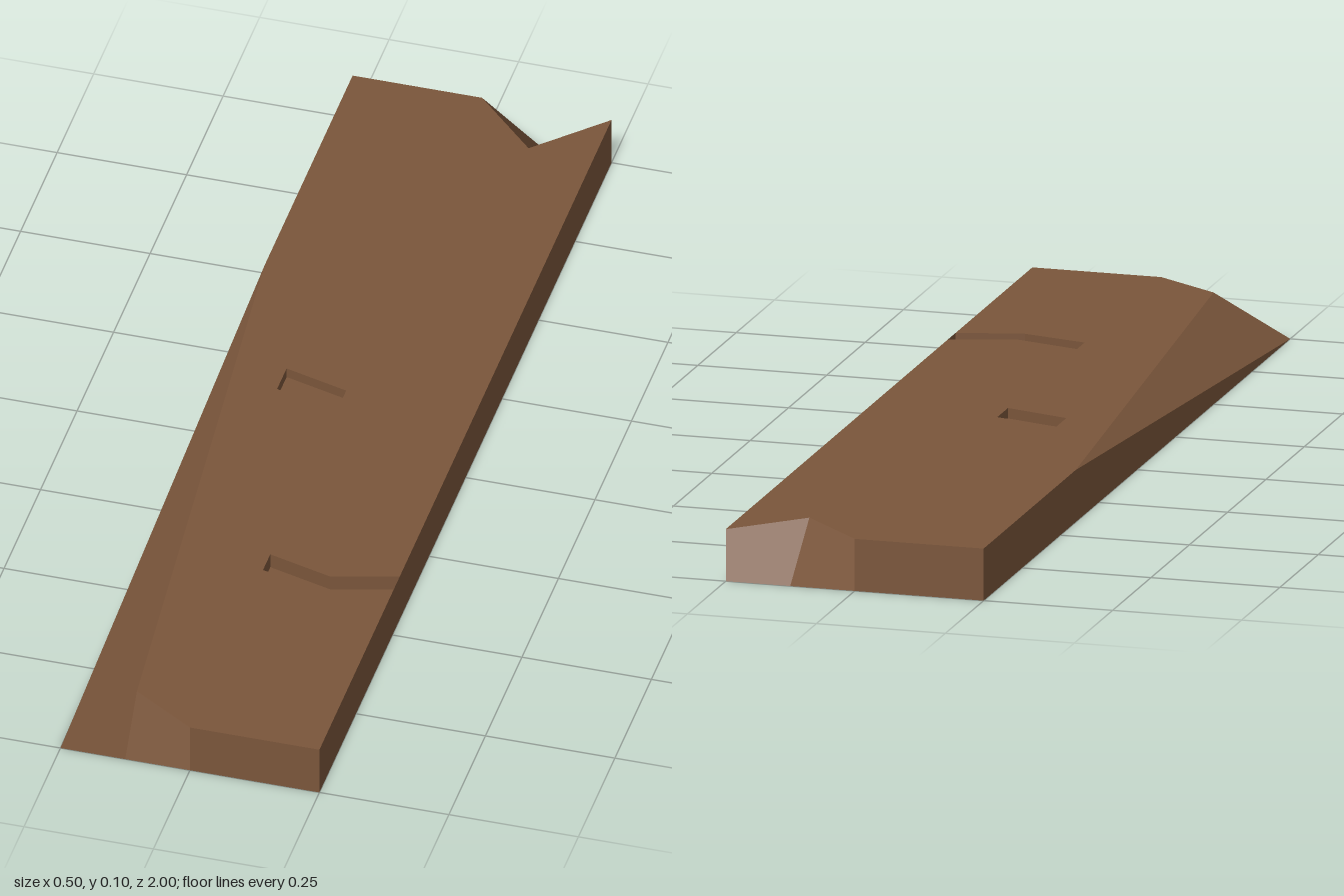
import * as THREE from 'three';

const HEIGHT = 0.1;

// Flat horizontal panel from [x, z] points, facing up at height y
function panel(points, y, holes = []) {
  const toVec = ([x, z]) => new THREE.Vector2(x, -z);
  const shape = new THREE.Shape(points.map(toVec));
  holes.forEach((h) => shape.holes.push(new THREE.Path(h.map(toVec))));
  return new THREE.ShapeGeometry(shape).rotateX(-Math.PI / 2).translate(0, y, 0);
}

// Ring of side faces between a lower and an upper outline; each quad has one flat normal
function wall(low, top, y0, y1) {
  const positions = [];
  const normals = [];
  low.forEach((_, i) => {
    const j = (i + 1) % low.length;
    const at = ([x, z], y) => new THREE.Vector3(x, y, z);
    const a = at(low[i], y0);
    const b = at(low[j], y0);
    const c = at(top[j], y1);
    const d = at(top[i], y1);
    const n = c.clone().sub(a).cross(d.clone().sub(b)).normalize();
    for (const p of [a, b, c, a, c, d]) {
      positions.push(p.x, p.y, p.z);
      normals.push(n.x, n.y, n.z);
    }
  });
  const g = new THREE.BufferGeometry();
  g.setAttribute('position', new THREE.Float32BufferAttribute(positions, 3));
  g.setAttribute('normal', new THREE.Float32BufferAttribute(normals, 3));
  return g;
}

export function createModel() {
  const model = new THREE.Group();
  model.name = 'woodenPlank';
  const wood = new THREE.MeshStandardMaterial({ color: 0x7b563b });
  wood.name = 'brown wood';

  const add = (name, geometry) => {
    const mesh = new THREE.Mesh(geometry, wood);
    mesh.name = name;
    model.add(mesh);
  };

  // Outlines at the bottom and the top; chips pull the top points inwards
  const low = [[0.25, -1], [0.125, -1], [0, -1], [-0.25, -1],
    [-0.25, 1], [-0.125, 1], [0, 1], [0.25, 1]];
  const top = [[0.25, -1], [0.125, -0.875], [0, -1], [-0.25, -1],
    [-0.25, -0.4], [-0.125, 0.92], [0, 1], [0.25, 1]];

  // Shallow gouges in the top
  const shortGouge = [[-0.125, -0.105], [0, -0.07], [0, 0], [-0.125, -0.04]];
  const bentGouge = [[0, 0.45], [0.125, 0.485], [0.25, 0.45],
    [0.25, 0.5], [0.125, 0.53], [0, 0.5]];

  // The bent gouge reaches the edge, so it interrupts the top outline
  const bentEdge = [3, 4, 5, 0, 1, 2].map((i) => bentGouge[i]);

  add('plankSides', wall(low, top, 0, HEIGHT));
  add('plankTop', panel([...top, ...bentEdge], HEIGHT, [shortGouge]));
  add('plankBottom', new THREE.PlaneGeometry(0.5, 2).rotateX(Math.PI / 2));

  const gouge = (name, outline, depth) => {
    add(name + 'Floor', panel(outline, HEIGHT - depth));
    add(name + 'Walls', wall(outline, outline, HEIGHT - depth, HEIGHT));
  };
  gouge('shortGouge', shortGouge, 0.02);
  gouge('bentGouge', bentGouge, 0.03);

  return model;
}
